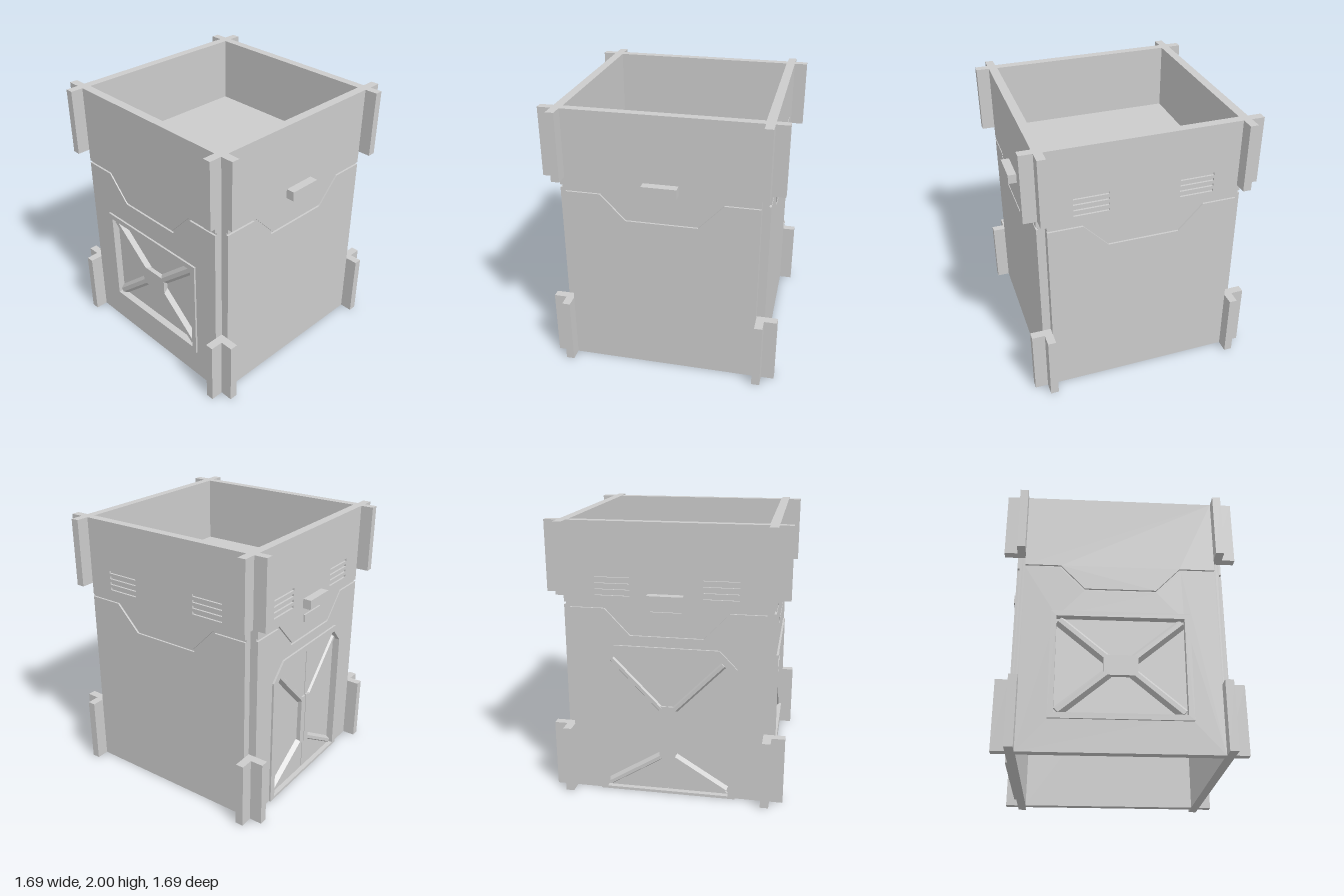
import * as THREE from 'three';

const material = new THREE.MeshStandardMaterial({ color: 0xcccccc, flatShading: true });
const INNER = 0.69, FLOOR = 0.71, CORE = 0.735, OUTER = 0.75;

function add(parent, name, geometry) {
  const mesh = new THREE.Mesh(geometry, material);
  mesh.name = name;
  parent.add(mesh);
  return mesh;
}

// Box given by its lowest and highest corners
function box(parent, name, [x0, y0, z0], [x1, y1, z1]) {
  const mesh = add(parent, name, new THREE.BoxGeometry(x1 - x0, y1 - y0, z1 - z0));
  mesh.position.set((x0 + x1) / 2, (y0 + y1) / 2, (z0 + z1) / 2);
  return mesh;
}

const toPoints = (list) => list.map(([x, y]) => new THREE.Vector2(x, y));

// Plate with optional holes, from depth z0 to z1
function plate(parent, name, outline, holes, z0, z1) {
  const shape = new THREE.Shape(toPoints(outline));
  shape.holes = holes.map((h) => new THREE.Path(toPoints(h)));
  const mesh = add(parent, name, new THREE.ExtrudeGeometry(shape, { depth: z1 - z0, bevelEnabled: false }));
  mesh.position.z = z0;
  return mesh;
}

const rect = (x0, y0, x1, y1) => [[x0, y0], [x1, y0], [x1, y1], [x0, y1]];

// Mirror a right-hand outline to make a symmetric polygon
const symmetric = (half) => [...half, ...half.map(([x, y]) => [-x, y]).reverse()];

// Bar with sloping sides between two points of a wall
function bevelBar(parent, name, a, b, width, z0, z1) {
  const dx = b[0] - a[0], dy = b[1] - a[1], length = Math.hypot(dx, dy), w = width / 2;
  const section = new THREE.Shape(toPoints([[-w, 0], [w, 0], [w * 0.4, z1 - z0], [-w * 0.4, z1 - z0]]));
  const geometry = new THREE.ExtrudeGeometry(section, { depth: length, bevelEnabled: false });
  const along = new THREE.Vector3(dx / length, dy / length, 0);
  const out = new THREE.Vector3(0, 0, 1);
  const side = new THREE.Vector3().crossVectors(out, along);
  geometry.applyMatrix4(new THREE.Matrix4().makeBasis(side, out, along));
  add(parent, name, geometry).position.set(a[0], a[1], z0);
}

// One wall facing +z: backing, core, and two skin panels divided by a stepped groove
function wall(name, angle, { vents = false, recess = null }) {
  const group = new THREE.Group();
  group.name = name;
  group.rotation.y = angle;
  const cut = recess ? [recess] : [];
  box(group, 'wallBacking', [-INNER, 0, 0.685], [INNER, 2, FLOOR]);
  plate(group, 'wallCore', rect(-INNER, 0, INNER, 2), cut, FLOOR, CORE);
  plate(group, 'lowerPanel', symmetric([[INNER, 0], [INNER, 1.392], [0.44, 1.392], [0.26, 1.203]]), cut, CORE, OUTER);
  const slots = [];
  if (vents) {
    for (const x of [-0.505, 0.255]) {
      for (let i = 0; i < 4; i++) slots.push(rect(x, 1.485 + i * 0.043, x + 0.25, 1.505 + i * 0.043));
    }
  }
  plate(group, 'upperPanel', symmetric([[0.255, 1.222], [0.432, 1.41], [INNER, 1.41], [INNER, 2]]), slots, CORE, OUTER);
  return group;
}

const handle = (parent) => box(parent, 'handle', [-0.125, 1.44, OUTER], [0.125, 1.51, 0.813]);

export function createModel() {
  const model = new THREE.Group();
  model.name = 'container';

  const front = wall('frontWall', 0, {});
  handle(front);

  const left = wall('leftWall', Math.PI / 2, { vents: true });

  // Back wall with double door
  const doorway = symmetric([[0.45, 0.02], [0.45, 0.98], [0.355, 1.085]]);
  const back = wall('backWall', Math.PI, { vents: true, recess: doorway });
  handle(back);
  box(back, 'doorPlaque', [-0.11, 1.33, OUTER], [0.11, 1.385, 0.763]);
  plate(back, 'doorFrame', symmetric([[0.5, 0], [0.5, 1.0], [0.375, 1.13]]), [doorway], OUTER, 0.765);
  for (const s of [-1, 1]) {
    const x0 = s > 0 ? 0.004 : -0.06;
    box(back, 'doorInnerBar', [x0, 0.26, FLOOR], [x0 + 0.056, 0.68, 0.742]);
    plate(back, 'doorUpperLeaf', [[s * 0.004, 0.68], [s * 0.06, 0.68], [s * 0.4, 1.035], [s * 0.355, 1.085], [s * 0.004, 1.085]], [], FLOOR, 0.728);
    plate(back, 'doorLowerLeaf', [[s * 0.004, 0.26], [s * 0.06, 0.26], [s * 0.45, 0.02], [s * 0.004, 0.02]], [], FLOOR, 0.728);
    bevelBar(back, 'doorUpperBrace', [s * 0.05, 0.66], [s * 0.4, 1.02], 0.06, FLOOR, 0.745);
    bevelBar(back, 'doorLowerBrace', [s * 0.05, 0.28], [s * 0.43, 0.045], 0.06, FLOOR, 0.745);
  }

  // Right wall with a cross-braced hatch
  const hatch = rect(-0.45, 0.27, 0.45, 0.99);
  const right = wall('rightWall', -Math.PI / 2, { recess: hatch });
  plate(right, 'hatchFrame', rect(-0.49, 0.23, 0.49, 1.03), [hatch], OUTER, 0.765);
  box(right, 'hatchCentre', [-0.12, 0.555, FLOOR], [0.12, 0.705, 0.745]);
  for (const sx of [-1, 1]) {
    for (const sy of [-1, 1]) {
      bevelBar(right, 'hatchBrace', [sx * 0.09, 0.63 + sy * 0.05], [sx * 0.43, 0.63 + sy * 0.34], 0.08, FLOOR, 0.745);
    }
  }
  model.add(front, left, back, right);

  // Raised inner deck; the space below it is open
  box(model, 'deck', [-INNER, 1.45, -INNER], [INNER, 1.5, INNER]);

  // Crossed corner brackets, top and bottom
  for (let i = 0; i < 4; i++) {
    const corner = new THREE.Group();
    corner.name = 'cornerBracket';
    corner.rotation.y = (i * Math.PI) / 2;
    for (const y of [0, 1.5]) {
      box(corner, 'bracketSideArm', [INNER, y, INNER], [0.845, y + 0.5, OUTER]);
      box(corner, 'bracketFrontArm', [INNER, y, OUTER], [OUTER, y + 0.5, 0.845]);
    }
    model.add(corner);
  }
  return model;
}
